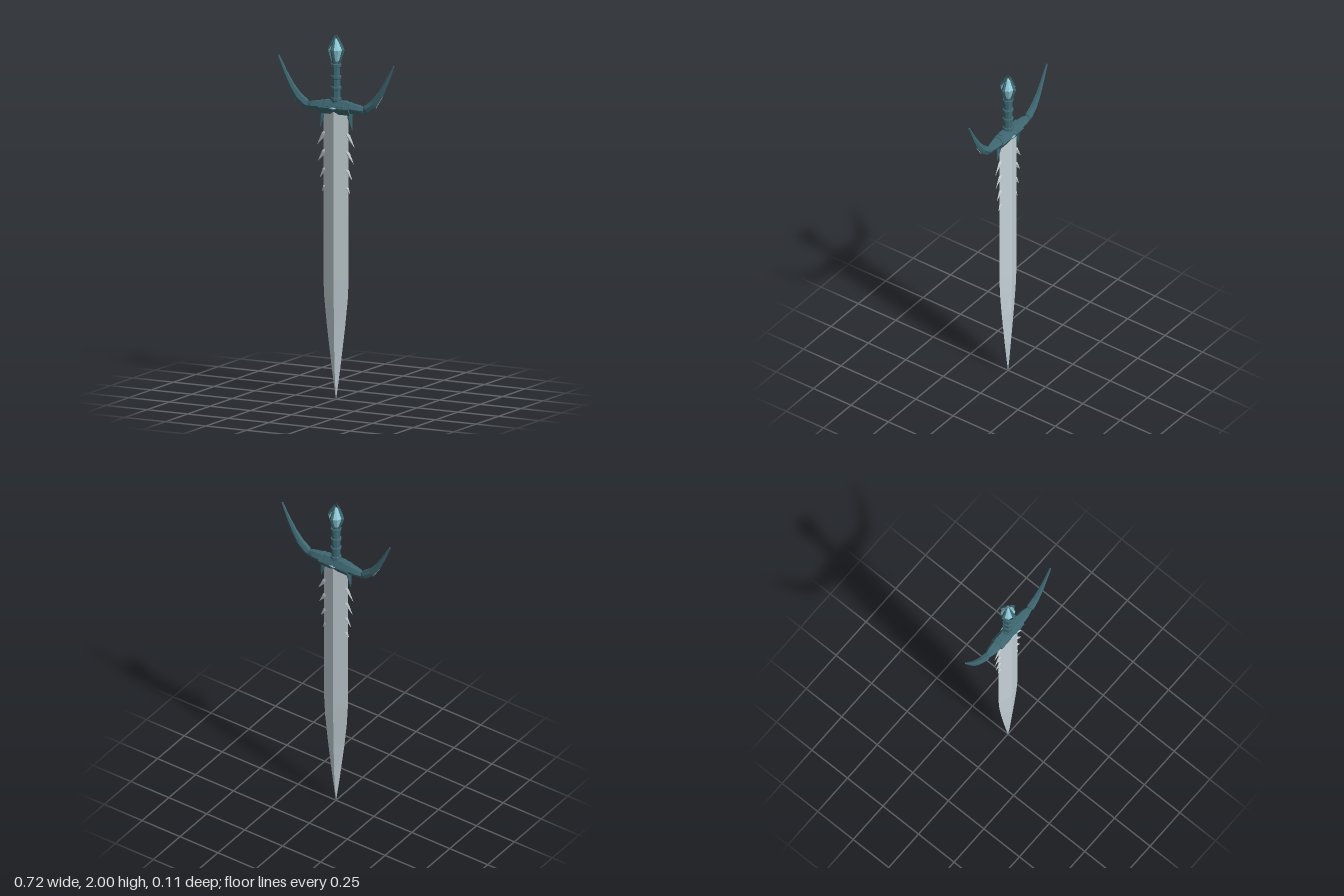
import * as THREE from 'three';

const steel = new THREE.MeshStandardMaterial({ color: 0xc6d3d8, flatShading: true });
const teal = new THREE.MeshStandardMaterial({ color: 0x3f6872, flatShading: true });
const gem = new THREE.MeshStandardMaterial({ color: 0x8fcbd8, flatShading: true });

// Skins a list of equal-length rings of Vector3, closes both ends, faces outward
function loft(rings) {
  const tris = [];
  const n = rings[0].length;
  for (let i = 0; i + 1 < rings.length; i++) {
    for (let j = 0; j < n; j++) {
      const k = (j + 1) % n, a = rings[i], b = rings[i + 1];
      tris.push([a[j], a[k], b[k]], [a[j], b[k], b[j]]);
    }
  }
  const first = rings[0], last = rings[rings.length - 1];
  for (let j = 1; j + 1 < n; j++) {
    tris.push([first[0], first[j + 1], first[j]], [last[0], last[j], last[j + 1]]);
  }
  const centre = first[0];
  let volume = 0;
  for (const [a, b, c] of tris) {
    const u = a.clone().sub(centre), v = b.clone().sub(centre), w = c.clone().sub(centre);
    volume += u.dot(v.cross(w));
  }
  const points = tris.flatMap(([a, b, c]) => (volume < 0 ? [a, c, b] : [a, b, c]));
  const geometry = new THREE.BufferGeometry().setFromPoints(points);
  geometry.computeVertexNormals();
  return geometry;
}

// Sweeps a cross-section along stations [x, y, halfHeight, halfDepth] in the XY plane
function sweep(stations, side, section) {
  const rings = stations.map(([x, y, h, d], i) => {
    const p = stations[Math.max(i - 1, 0)], q = stations[Math.min(i + 1, stations.length - 1)];
    const t = new THREE.Vector2(q[0] - p[0], q[1] - p[1]).normalize();
    return section.map(([u, v]) =>
      new THREE.Vector3(side * (x - t.y * u * h), y + t.x * u * h, v * d));
  });
  return loft(rings);
}

const DIAMOND = [[1, 0], [0, 1], [-1, 0], [0, -1]];
const HEX = [[1, 0.5], [0, 1], [-1, 0.5], [-1, -0.5], [0, -1], [1, -0.5]];

function add(parent, name, geometry, material) {
  const mesh = new THREE.Mesh(geometry, material);
  mesh.name = name;
  parent.add(mesh);
  return mesh;
}

export function createModel() {
  const sword = new THREE.Group();
  sword.name = 'sword';

  // Blade: diamond section, curving in to the point [y, halfWidth, halfDepth]
  const blade = [[1.6, 0.078, 0.028], [0.66, 0.078, 0.028], [0.55, 0.072, 0.026],
    [0.4, 0.056, 0.023], [0.2, 0.03, 0.018], [0.1, 0.016, 0.011], [0, 0.0005, 0.0005]];
  add(sword, 'blade', loft(blade.map(([y, w, d]) =>
    DIAMOND.map(([u, v]) => new THREE.Vector3(u * w, y, v * d)))), steel);

  // Guard core, raised collar and front and back inlays
  add(sword, 'guardCore', sweep([[-0.093, 1.602, 0.034, 0.038], [0.093, 1.602, 0.034, 0.038]], 1, HEX), teal);
  add(sword, 'guardCollar', sweep([[-0.07, 1.612, 0.028, 0.03], [-0.06, 1.612, 0.03, 0.034],
    [0.06, 1.612, 0.03, 0.034], [0.07, 1.612, 0.028, 0.03]], 1, HEX), teal);
  for (const z of [-1, 1]) {
    const inlay = add(sword, 'guardInlay', new THREE.OctahedronGeometry(1), gem);
    inlay.scale.set(0.026, 0.007, 0.005);
    inlay.position.set(0, 1.602, z * 0.037);
  }

  const arm = [[0.06, 1.608, 0.03, 0.034], [0.14, 1.603, 0.023, 0.027], [0.175, 1.6, 0.019, 0.016],
    [0.19, 1.61, 0.022, 0.022], [0.235, 1.645, 0.021, 0.018], [0.275, 1.7, 0.016, 0.014],
    [0.31, 1.765, 0.011, 0.01], [0.355, 1.86, 0.004, 0.005]];
  // Barbs: [rootX, rootY, tipX, tipY, halfWidth]
  const barbs = [[0.06, 1.475, 0.115, 1.39, 0.013], [0.06, 1.375, 0.11, 1.3, 0.013],
    [0.06, 1.275, 0.1, 1.21, 0.012], [0.063, 1.175, 0.086, 1.135, 0.01]];
  const spike = ([x0, y0, x1, y1, w], d, side) => {
    const at = (t) => [x0 + (x1 - x0) * t, y0 + (y1 - y0) * t];
    return sweep([[...at(0), w * 0.4, d * 0.5], [...at(0.3), w, d], [...at(1), 0.0006, 0.0006]], side, DIAMOND);
  };

  for (const side of [-1, 1]) {
    const label = side > 0 ? 'left' : 'right';
    add(sword, label + 'GuardArm', sweep(arm, side, HEX), teal);
    // Pale spur beneath the arm
    add(sword, label + 'ArmSpur', spike([0.288, 1.72, 0.245, 1.618, 0.013], 0.006, side), steel);
    // Dark prong gripping the blade shoulder
    add(sword, label + 'Prong', sweep([[0.083, 1.59, 0.02, 0.018], [0.086, 1.55, 0.016, 0.014],
      [0.099, 1.483, 0.001, 0.001]], side, DIAMOND), teal);
    barbs.forEach((b, i) => add(sword, label + 'Barb' + (i + 1), spike(b, 0.008, side), steel));
  }

  // Grip with raised bands
  const grip = add(sword, 'grip', new THREE.CylinderGeometry(0.023, 0.025, 0.25, 8), teal);
  grip.position.y = 1.74;
  for (const y of [1.65, 1.71, 1.77, 1.835]) {
    const band = add(sword, 'gripBand', new THREE.LatheGeometry([[0.02, -0.012], [0.03, -0.007],
      [0.03, 0.007], [0.02, 0.012]].map(([r, h]) => new THREE.Vector2(r, h)), 8), teal);
    band.position.y = y;
  }

  // Pommel: faceted gem held by four bent claws
  add(sword, 'pommelGem', new THREE.LatheGeometry([[0.0005, 1.85], [0.024, 1.86], [0.04, 1.92],
    [0.0005, 1.985]].map(([r, y]) => new THREE.Vector2(r, y)), 8), gem);
  const claw = [[0.018, 1.845, 0.007, 0.01], [0.032, 1.88, 0.007, 0.01], [0.045, 1.922, 0.009, 0.011],
    [0.026, 1.96, 0.007, 0.008], [0.007, 2.0, 0.001, 0.001]];
  for (let i = 0; i < 4; i++) {
    add(sword, 'pommelClaw', sweep(claw, 1, DIAMOND), teal).rotation.y = i * Math.PI / 2;
  }

  return sword;
}
